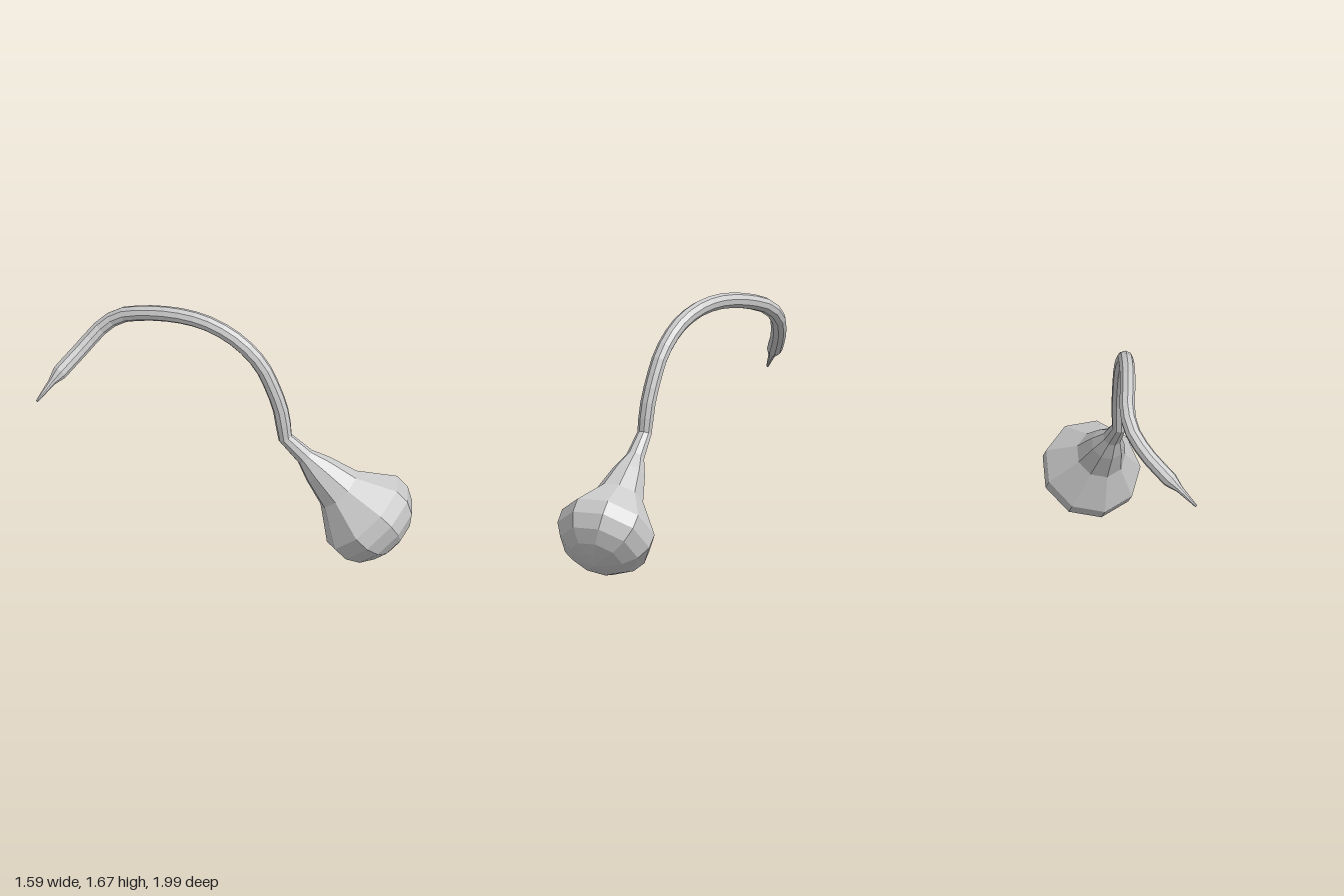
import * as THREE from 'three';

const SIDES = 9;
const V = (x, y, z) => new THREE.Vector3(x, y, z);

// Cross-section frames along a path, carried forward without twist
function makeRings(stations, startNormal) {
  const normal = startNormal.clone();
  return stations.map(({ p, r }, i) => {
    const before = stations[Math.max(i - 1, 0)].p;
    const after = stations[Math.min(i + 1, stations.length - 1)].p;
    const t1 = p.clone().sub(before).normalize();
    const t2 = after.clone().sub(p).normalize();
    const t = t1.add(t2).normalize();
    normal.addScaledVector(t, -normal.dot(t)).normalize();
    const binormal = t.clone().cross(normal);
    return Array.from({ length: SIDES }, (_, j) => {
      const a = (j / SIDES) * Math.PI * 2;
      return p.clone()
        .addScaledVector(normal, r * Math.cos(a))
        .addScaledVector(binormal, r * Math.sin(a));
    });
  });
}

// Skin a run of rings with flat facets
function skin(name, rings, material, capEnd = false) {
  const pts = [];
  for (let i = 0; i < rings.length - 1; i++) {
    for (let j = 0; j < SIDES; j++) {
      const k = (j + 1) % SIDES;
      const a = rings[i][j], b = rings[i][k], c = rings[i + 1][k], d = rings[i + 1][j];
      pts.push(a, b, c, a, c, d);
    }
  }
  if (capEnd) {
    const last = rings[rings.length - 1];
    for (let j = 1; j < SIDES - 1; j++) pts.push(last[0], last[j], last[j + 1]);
  }
  const geometry = new THREE.BufferGeometry().setFromPoints(pts);
  geometry.computeVertexNormals();
  const mesh = new THREE.Mesh(geometry, material);
  mesh.name = name;
  return mesh;
}

export function createModel() {
  const group = new THREE.Group();
  group.name = 'bulbWithCurvedStem';
  const material = new THREE.MeshStandardMaterial({ color: 0xcccccc, flatShading: true });

  // Bulb and neck: [distance below the stem joint, radius] on a slanted axis
  const joint = V(0.155, 0.865, 0.285);
  const axis = V(0.428, -0.731, 0.531).normalize();
  const profile = [
    [1.035, 0], [1.01, 0.1], [0.98, 0.18], [0.915, 0.265], [0.825, 0.313], [0.725, 0.315],
    [0.5, 0.16], [0.31, 0.108], [0.185, 0.06],
  ];
  const stations = profile.map(([s, r]) => ({ p: joint.clone().addScaledVector(axis, s), r }));
  const rimIndex = 6;
  const jointIndex = stations.length;

  // Stem: arched centre line of even thickness
  const curve = new THREE.CatmullRomCurve3([
    joint, V(0.145, 1.06, 0.255), V(0.125, 1.2, 0.21), V(0.095, 1.35, 0.145),
    V(0.05, 1.47, 0.05), V(0.005, 1.55, -0.05), V(-0.055, 1.615, -0.2),
    V(-0.125, 1.637, -0.38), V(-0.2, 1.61, -0.6), V(-0.25, 1.56, -0.75),
    V(-0.31, 1.48, -0.84), V(-0.43, 1.36, -0.9), V(-0.605, 1.23, -0.95),
  ]);
  const steps = 22;
  curve.getSpacedPoints(steps).forEach((p, i) => stations.push({ p, r: i === 0 ? 0.047 : 0.05 }));
  const tipIndex = stations.length - 1;

  // Pointed tip
  stations.push({ p: V(-0.675, 1.18, -0.962), r: 0.024 }, { p: V(-0.793, 1.087, -0.982), r: 0.008 });

  const rings = makeRings(stations, V(0, -1, 0));
  group.add(
    skin('bulb', rings.slice(0, rimIndex + 1), material),
    skin('neck', rings.slice(rimIndex, jointIndex + 1), material),
    skin('stem', rings.slice(jointIndex, tipIndex + 1), material),
    skin('tip', rings.slice(tipIndex), material, true),
  );
  return group;
}
